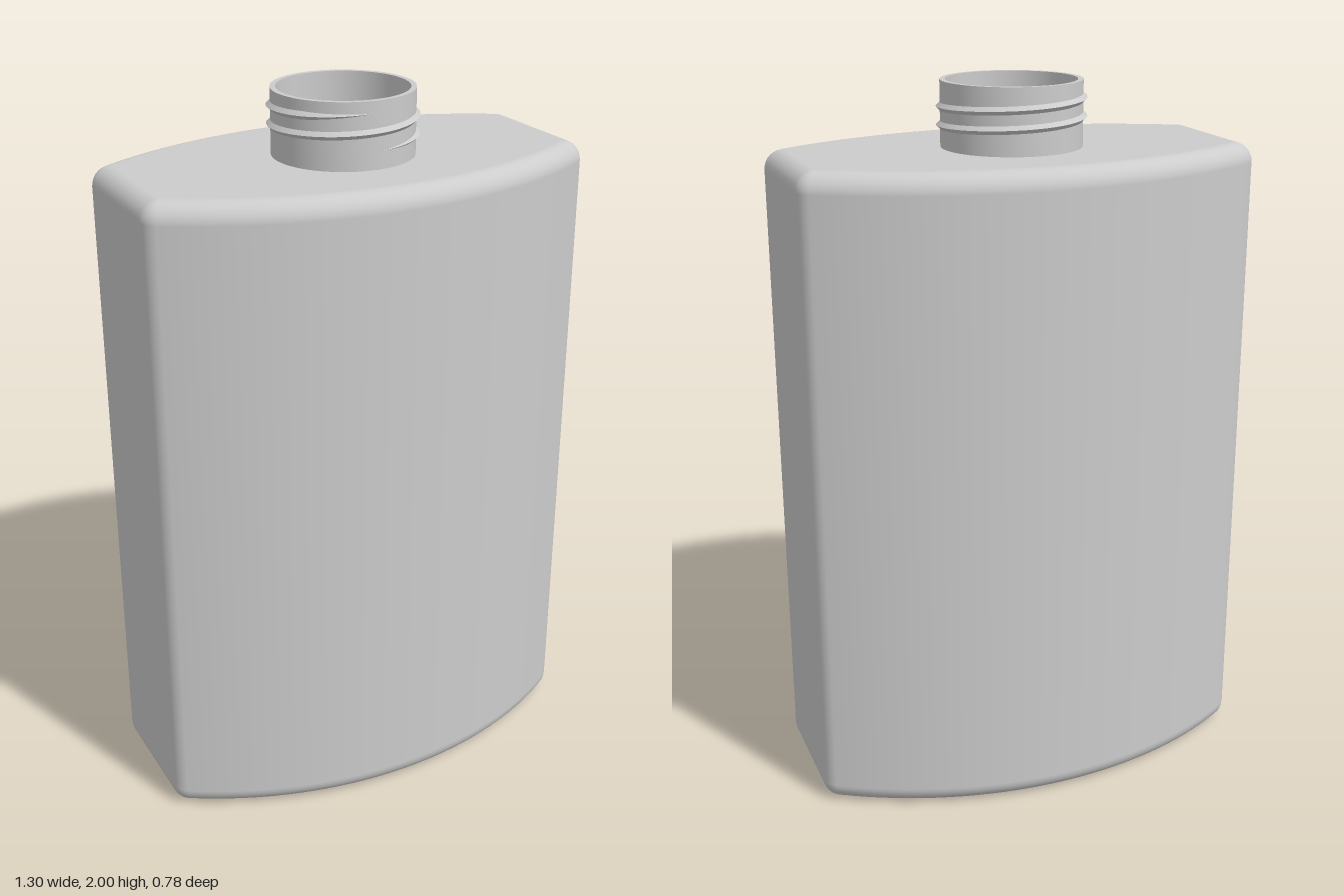
import * as THREE from 'three';
import { toCreasedNormals } from 'three/addons/utils/BufferGeometryUtils.js';

const plastic = new THREE.MeshStandardMaterial({ color: 0xcccccc });
plastic.name = 'grey plastic';

const BODY_TOP = 1.82, FILLET = 0.055, WALL = 0.015;
const NECK_R = 0.195, BORE_R = 0.18;

// Plan outline: two large bowed faces, two flat ends, four rounded corners.
const BOW_R = 1.186, BOW_Z = 0.39 - BOW_R;
const CORNER_X = 0.65 - FILLET;
const CORNER_Z = BOW_Z + Math.sqrt((BOW_R - FILLET) ** 2 - CORNER_X ** 2);
const BEND = Math.acos(CORNER_X / (BOW_R - FILLET));

function makeOutline() {
  const points = [];
  const arc = (cx, cz, r, from, to, n) => {
    for (let i = 0; i <= n; i++) points.push({ cx, cz, r, a: from + (to - from) * i / n });
  };
  for (const s of [1, -1]) {
    const o = s > 0 ? 0 : Math.PI;
    arc(s * CORNER_X, s * CORNER_Z, FILLET, o, o + BEND, 6);
    arc(0, s * BOW_Z, BOW_R, o + BEND, o + Math.PI - BEND, 32);
    arc(-s * CORNER_X, s * CORNER_Z, FILLET, o + Math.PI - BEND, o + Math.PI, 6);
  }
  points.push(points[0]);
  return points;
}
const outline = makeOutline();
const at = (p, inset) => [p.cx + (p.r - inset) * Math.cos(p.a), p.cz + (p.r - inset) * Math.sin(p.a)];

// Side wall with rolled edges, lofted through inset copies of the outline.
function wallGeometry(inset, facing) {
  const pos = [], nor = [], idx = [], steps = 8, N = outline.length;
  const roll = FILLET - inset;
  const rings = [];
  for (let i = 0; i <= steps; i++) rings.push([-Math.PI / 2 * (1 - i / steps), FILLET]);
  for (let i = 0; i <= steps; i++) rings.push([Math.PI / 2 * i / steps, BODY_TOP - FILLET]);
  rings.forEach(([phi, y], j) => {
    outline.forEach((p, i) => {
      const [x, z] = at(p, inset + roll * (1 - Math.cos(phi)));
      pos.push(x, y + roll * Math.sin(phi), z);
      nor.push(facing * Math.cos(p.a) * Math.cos(phi), facing * Math.sin(phi), facing * Math.sin(p.a) * Math.cos(phi));
      if (i < N - 1 && j < rings.length - 1) {
        const a = j * N + i, b = a + 1, c = a + N, d = c + 1;
        if (facing > 0) idx.push(a, c, b, b, c, d);
        else idx.push(a, b, c, b, d, c);
      }
    });
  });
  const g = new THREE.BufferGeometry();
  g.setAttribute('position', new THREE.Float32BufferAttribute(pos, 3));
  g.setAttribute('normal', new THREE.Float32BufferAttribute(nor, 3));
  g.setIndex(idx);
  return g;
}

// Flat plate closing the wall, with an optional round opening.
function capGeometry(y, up, hole) {
  const pts = [];
  outline.slice(0, -1).forEach((p) => {
    const v = new THREE.Vector2(...at(p, FILLET));
    if (!pts.some((q) => q.distanceTo(v) < 1e-5)) pts.push(v);
  });
  const shape = new THREE.Shape(pts);
  if (hole) shape.holes.push(new THREE.Path().absarc(0, 0, hole, 0, Math.PI * 2, true));
  return new THREE.ShapeGeometry(shape, 32).rotateX(up ? -Math.PI / 2 : Math.PI / 2).translate(0, y, 0);
}

// Neck: outer wall, rim and bore.
function neckGeometry() {
  const profile = [[NECK_R, BODY_TOP], [NECK_R, 2], [BORE_R, 2], [BORE_R, BODY_TOP - WALL]];
  const g = new THREE.LatheGeometry(profile.map(([r, y]) => new THREE.Vector2(r, y)), 64);
  return toCreasedNormals(g, 0.6);
}

// Screw thread: a triangular ridge climbing two turns and fading at both ends.
function threadGeometry() {
  const turns = 2, steps = 128, pos = [], idx = [];
  for (let i = 0; i <= steps; i++) {
    const t = i / steps, a = t * turns * Math.PI * 2;
    const y = 1.868 + 0.05 * turns * t;
    const fade = Math.min(1, t * 12, (1 - t) * 12);
    const section = [[NECK_R - 0.001, -0.012], [NECK_R + 0.011 * fade, 0], [NECK_R - 0.001, 0.012]];
    for (const [r, dy] of section) pos.push(r * Math.sin(a), y + dy * fade, r * Math.cos(a));
    if (i < steps) {
      for (const k of [0, 1]) {
        const p = i * 3 + k;
        idx.push(p, p + 3, p + 1, p + 1, p + 3, p + 4);
      }
    }
  }
  const g = new THREE.BufferGeometry();
  g.setAttribute('position', new THREE.Float32BufferAttribute(pos, 3));
  g.setIndex(idx);
  return toCreasedNormals(g, 0.5);
}

export function createModel() {
  const bottle = new THREE.Group();
  bottle.name = 'bottle';
  const add = (name, geometry) => {
    const mesh = new THREE.Mesh(geometry, plastic);
    mesh.name = name;
    bottle.add(mesh);
  };
  // Outer shell
  add('bodyWall', wallGeometry(0, 1));
  add('base', capGeometry(0, false));
  add('shoulder', capGeometry(BODY_TOP, true, NECK_R));
  // Hollow inside
  add('innerWall', wallGeometry(WALL, -1));
  add('innerFloor', capGeometry(WALL, true));
  add('innerCeiling', capGeometry(BODY_TOP - WALL, false, BORE_R));
  // Neck
  add('neck', neckGeometry());
  add('screwThread', threadGeometry());
  return bottle;
}
